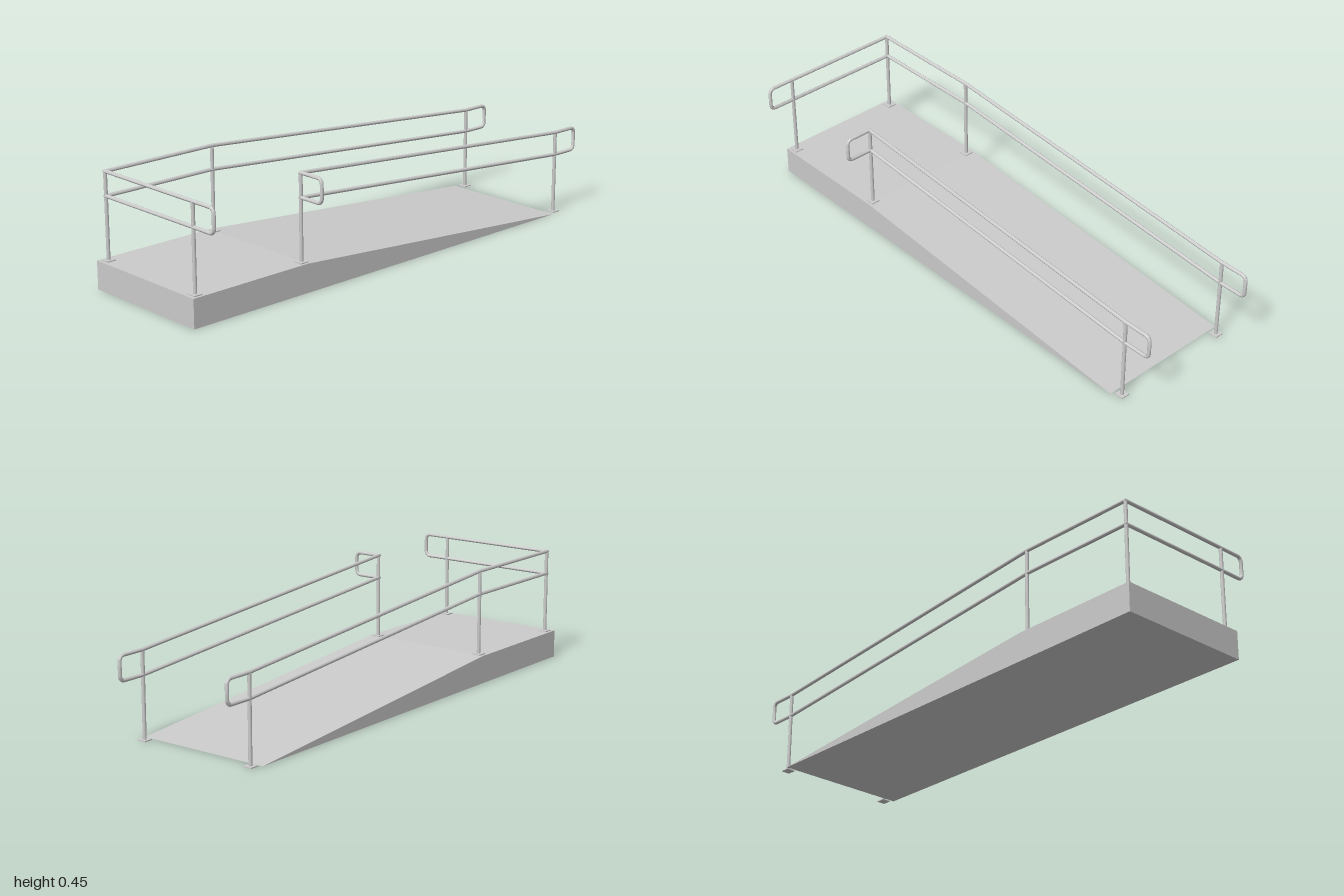
import * as THREE from 'three';
import { toCreasedNormals } from 'three/addons/utils/BufferGeometryUtils.js';

const V = (x, y, z) => new THREE.Vector3(x, y, z);
const R = 0.007, SIDES = 16, BEND = 0.02, DROP = 0.091;
const DECK = 0.11, RAIL = 0.442, RAIL_END = 0.33;
const X_LEFT = -0.97, X_MID = -0.486, X_FOOT = 0.88, X_END = 0.993;
const Z_BACK = -0.287, Z_FRONT = 0.202, Z_END = 0.311;
const grey = new THREE.MeshStandardMaterial({ color: 0xcccccc });

// Round pipe swept along a polyline with mitred corners
function mitredPipe(points) {
  const last = points.length - 1;
  const dirs = points.slice(1).map((p, i) => p.clone().sub(points[i]).normalize());
  const side = V(0, 1, 0).cross(dirs[0]).normalize();
  const up = dirs[0].clone().cross(side);
  let ring = [];
  for (let j = 0; j < SIDES; j++) {
    const a = (j / SIDES) * Math.PI * 2;
    ring.push(points[0].clone().addScaledVector(side, R * Math.cos(a)).addScaledVector(up, R * Math.sin(a)));
  }
  const pos = [], index = [];
  for (let i = 0; i <= last; i++) {
    if (i > 0) {
      // slide the ring along the segment onto the next mitre plane
      const d = dirs[i - 1];
      const n = i < last ? d.clone().add(dirs[i]).normalize() : d;
      ring = ring.map(p => p.clone().addScaledVector(d, points[i].clone().sub(p).dot(n) / d.dot(n)));
    }
    ring.forEach(p => pos.push(p.x, p.y, p.z));
  }
  for (let i = 0; i < last; i++) {
    for (let j = 0; j < SIDES; j++) {
      const k = (j + 1) % SIDES, a = i * SIDES, b = a + SIDES;
      index.push(a + j, a + k, b + j, a + k, b + k, b + j);
    }
  }
  const g = new THREE.BufferGeometry();
  g.setAttribute('position', new THREE.Float32BufferAttribute(pos, 3));
  g.setIndex(index);
  return toCreasedNormals(g, 0.6);
}

// Points of a rounded right-angle bend at corner c
function bend(prev, c, next) {
  const u = prev.clone().sub(c).normalize(), v = next.clone().sub(c).normalize();
  return Array.from({ length: 9 }, (_, i) => {
    const t = (i / 8) * Math.PI / 2;
    return c.clone().addScaledVector(u, BEND * (1 - Math.sin(t))).addScaledVector(v, BEND * (1 - Math.cos(t)));
  });
}

// Closed double rail: along the top, round the end, back along the bottom
function doubleRail(top) {
  const low = top.map(p => V(p.x, p.y - DROP, p.z));
  const n = top.length - 1;
  const start = top[0].clone().lerp(top[1], 0.5);
  return mitredPipe([
    start,
    ...top.slice(1, n),
    ...bend(top[n - 1], top[n], low[n]),
    ...bend(top[n], low[n], low[n - 1]),
    ...low.slice(1, n).reverse(),
    ...bend(low[1], low[0], top[0]),
    ...bend(low[0], top[0], top[1]),
    start.clone(),
  ]);
}

export function createModel() {
  const model = new THREE.Group();
  const add = (name, geometry, parent = model) => {
    const m = new THREE.Mesh(geometry, grey);
    m.name = name;
    parent.add(m);
    return m;
  };

  // Solid platform with sloping ramp
  const profile = new THREE.Shape([[-1, 0], [0.85, 0], [-0.48, DECK], [-1, DECK]].map(p => new THREE.Vector2(...p)));
  add('ramp', new THREE.ExtrudeGeometry(profile, { depth: 0.546, bevelEnabled: false })).position.z = -0.316;

  // Handrails
  add('backHandrail', doubleRail([
    V(X_LEFT, RAIL, Z_END), V(X_LEFT, RAIL, Z_BACK), V(X_MID, RAIL, Z_BACK),
    V(X_FOOT, RAIL_END, Z_BACK), V(X_END, RAIL_END, Z_BACK),
  ]));
  add('frontHandrail', doubleRail([
    V(X_MID, RAIL, Z_END), V(X_MID, RAIL, Z_FRONT),
    V(X_FOOT, RAIL_END, Z_FRONT), V(X_END, RAIL_END, Z_FRONT),
  ]));

  // Posts with square base plates
  for (const [x, base, top] of [[X_LEFT, DECK, RAIL], [X_MID, DECK, RAIL], [X_FOOT, 0, RAIL_END]]) {
    for (const z of [Z_BACK, Z_FRONT]) {
      const post = new THREE.Group();
      post.name = 'post';
      post.position.set(x, base, z);
      add('postTube', new THREE.CylinderGeometry(R, R, top - base, SIDES), post).position.y = (top - base) / 2;
      add('basePlate', new THREE.BoxGeometry(0.036, 0.004, 0.036), post).position.y = 0.002;
      model.add(post);
    }
  }
  return model;
}
